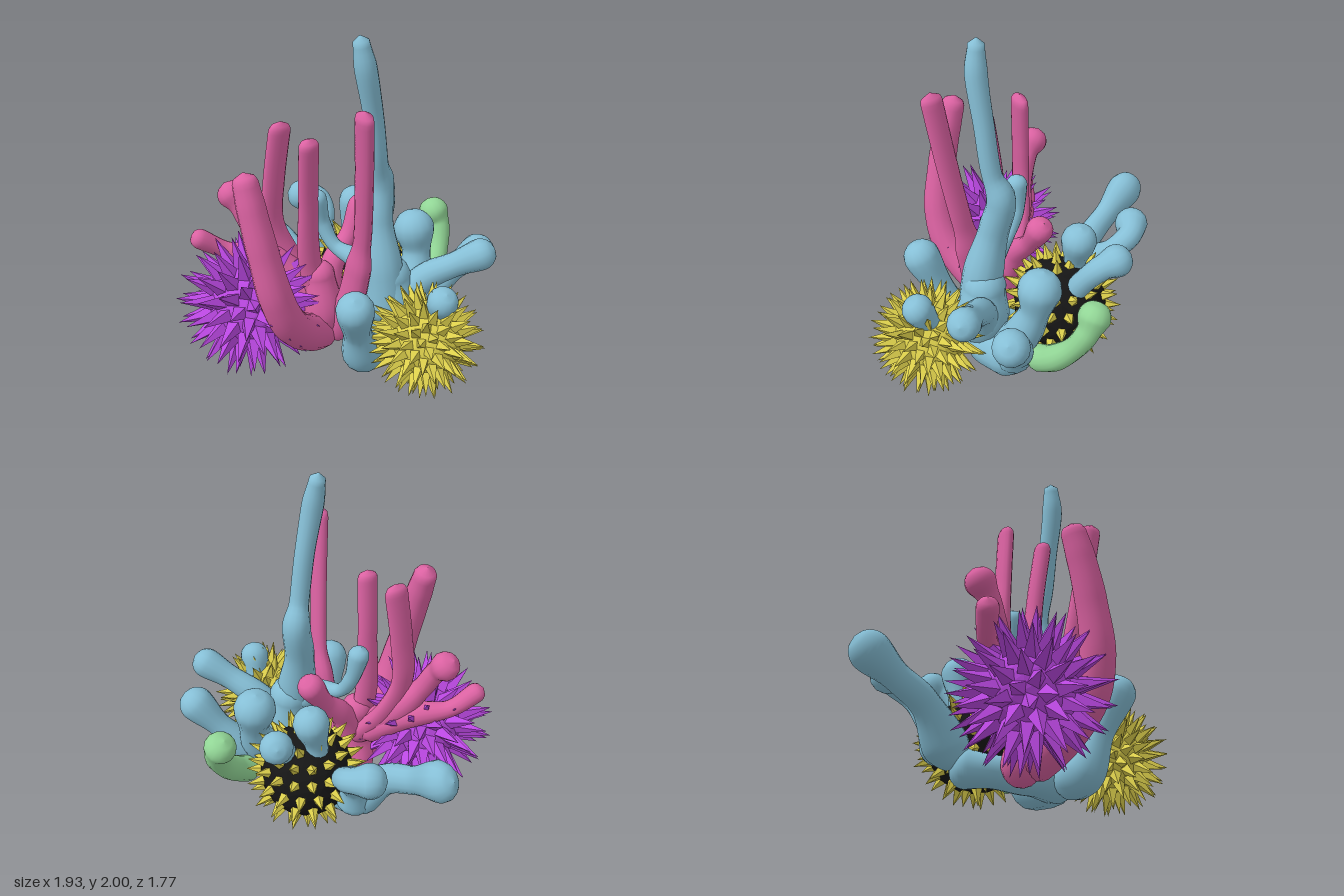
import * as THREE from 'three';
import { mergeVertices, mergeGeometries } from 'three/addons/utils/BufferGeometryUtils.js';

const BLUE = 0x86bfd6, PINK = 0xdb62a2, GREEN = 0x92d696, PURPLE = 0xbb48e2, YELLOW = 0xdccf4c, BLACK = 0x161616;

// Rounded coral branch through nodes [x, y, z, radius]; squash = [x, z] widths of the cross-section
function branchGeometry(nodes, squash = [1, 1]) {
  const pts = nodes.map(n => new THREE.Vector3(n[0], n[1], n[2]));
  const radii = nodes.map(n => n[3]);
  const last = pts.length - 1;
  // extend the tip by its own radius so that the last node is the centre of the bulb
  pts.push(pts[last].clone().addScaledVector(pts[last].clone().sub(pts[last - 1]).normalize(), radii[last]));
  radii.push(radii[last]);
  const curve = new THREE.CatmullRomCurve3(pts);
  const segs = 56, sides = 14, length = curve.getLength();
  const tube = new THREE.TubeGeometry(curve, segs, 1, sides);
  const pos = tube.attributes.position, v = new THREE.Vector3();
  for (let i = 0; i <= segs; i++) {
    const u = i / segs, c = curve.getPointAt(u);
    const f = curve.getUtoTmapping(u) * (pts.length - 1);
    const k = Math.min(Math.floor(f), pts.length - 2);
    let r = THREE.MathUtils.lerp(radii[k], radii[k + 1], THREE.MathUtils.smoothstep(f - k, 0, 1));
    const d = Math.min(u, 1 - u) * length;
    if (d < r) r = Math.sqrt(Math.max(0, r * r - (r - d) ** 2)) + 0.0005;
    for (let j = 0; j <= sides; j++) {
      const n = i * (sides + 1) + j;
      v.fromBufferAttribute(pos, n).sub(c).multiplyScalar(r);
      pos.setXYZ(n, c.x + v.x * squash[0], c.y + v.y, c.z + v.z * squash[1]);
    }
  }
  tube.deleteAttribute('uv');
  tube.deleteAttribute('normal');
  const geo = mergeVertices(tube, 1e-5);
  geo.computeVertexNormals();
  return geo;
}

// Each branch is a list of nodes, or { nodes, squash }
function coral(name, color, branches) {
  const group = new THREE.Group();
  group.name = name;
  const material = new THREE.MeshStandardMaterial({ color });
  for (const [part, b] of Object.entries(branches)) {
    const mesh = new THREE.Mesh(branchGeometry(b.nodes || b, b.squash), material);
    mesh.name = part;
    group.add(mesh);
  }
  return group;
}

// Evenly spread directions
function spiralDirections(count) {
  return Array.from({ length: count }, (_, i) => {
    const y = 1 - 2 * (i + 0.5) / count, r = Math.sqrt(1 - y * y), a = i * Math.PI * (3 - Math.sqrt(5));
    return new THREE.Vector3(r * Math.cos(a), y, r * Math.sin(a));
  });
}

// Directions in neat rings
function ringDirections(rings, most) {
  const dirs = [];
  for (let i = 0; i < rings; i++) {
    const a = Math.PI * (i + 0.5) / rings, n = Math.max(3, Math.round(most * Math.sin(a)));
    for (let j = 0; j < n; j++) dirs.push(new THREE.Vector3().setFromSphericalCoords(1, a, 2 * Math.PI * j / n));
  }
  return dirs;
}

function urchin(name, center, o) {
  const group = new THREE.Group();
  group.name = name;
  group.position.set(...center);
  const body = new THREE.Mesh(new THREE.IcosahedronGeometry(o.body, 3),
    new THREE.MeshStandardMaterial({ color: o.bodyColor, flatShading: true }));
  body.name = 'urchinBody';
  const up = new THREE.Vector3(0, 1, 0), base = o.body * 0.93;
  const cones = o.dirs.map((d, i) => {
    const h = o.tip * (1 - 0.04 * ((i * 7) % 5) / 4) - base;
    return new THREE.ConeGeometry(o.width, h, o.sides, 1, true)
      .translate(0, base + h / 2, 0)
      .applyQuaternion(new THREE.Quaternion().setFromUnitVectors(up, d));
  });
  const spines = new THREE.Mesh(mergeGeometries(cones),
    new THREE.MeshStandardMaterial({ color: o.spineColor, flatShading: true }));
  spines.name = 'urchinSpines';
  group.add(body, spines);
  return group;
}

export function createModel() {
  const model = new THREE.Group();
  model.name = 'coralReef';

  model.add(coral('blueCoral', BLUE, {
    root: [[-0.33, 0.19, -0.16, 0.12], [-0.12, 0.17, -0.08, 0.09], [0.1, 0.17, -0.1, 0.1], [0.28, 0.2, -0.15, 0.14]],
    backRoot: [[0.28, 0.18, -0.1, 0.12], [0.29, 0.2, -0.25, 0.14], [0.26, 0.21, -0.36, 0.14]],
    trunk: [[0.28, 0.18, -0.15, 0.12], [0.32, 0.4, -0.2, 0.15], [0.3, 0.58, -0.19, 0.12]],
    tallBranch: [[0.32, 0.3, -0.16, 0.14], [0.29, 0.62, -0.15, 0.115], [0.22, 0.92, -0.16, 0.085], [0.19, 1.13, -0.19, 0.08],
      [0.22, 1.27, -0.15, 0.055], [0.235, 1.55, -0.1, 0.055], [0.24, 1.82, -0.04, 0.06], [0.225, 1.955, -0.02, 0.045]],
    curlBranch: [[0.28, 0.55, -0.15, 0.09], [0.16, 0.66, -0.07, 0.06], [0.03, 0.72, 0, 0.04], [-0.04, 0.84, 0.03, 0.045], [-0.06, 0.99, 0.06, 0.06]],
    backBranch: [[0.24, 0.2, -0.34, 0.14], [0.21, 0.4, -0.45, 0.105], [0.17, 0.57, -0.5, 0.085], [0.14, 0.71, -0.5, 0.12]],
    backLeftBranch: [[0.24, 0.18, -0.38, 0.12], [0.29, 0.35, -0.52, 0.09], [0.36, 0.5, -0.63, 0.07], [0.45, 0.63, -0.72, 0.1]],
    highLeftBranch: [[0.34, 0.35, -0.2, 0.12], [0.41, 0.56, -0.34, 0.08], [0.53, 0.67, -0.46, 0.07], [0.63, 0.75, -0.56, 0.088]],
    sideBranch: [[0.34, 0.35, -0.2, 0.12], [0.5, 0.42, -0.22, 0.07], [0.65, 0.5, -0.23, 0.06], [0.72, 0.62, -0.21, 0.085]],
    frontLeftBranch: [[0.26, 0.17, -0.1, 0.11], [0.35, 0.18, 0.03, 0.12], [0.42, 0.4, 0.13, 0.08], [0.49, 0.6, 0.2, 0.105]],
    rightLongBranch: { nodes: [[-0.3, 0.17, -0.12, 0.1], [-0.37, 0.3, -0.11, 0.13], [-0.52, 0.48, -0.03, 0.085], [-0.68, 0.57, 0.02, 0.08],
      [-0.84, 0.67, 0.06, 0.115]], squash: [1, 0.8] },
    rightCurlBranch: [[-0.35, 0.2, -0.15, 0.12], [-0.43, 0.45, -0.19, 0.085], [-0.5, 0.6, -0.31, 0.065], [-0.6, 0.67, -0.32, 0.07], [-0.66, 0.68, -0.25, 0.095]],
    rearRightBranch: [[-0.12, 0.45, -0.4, 0.07], [-0.16, 0.65, -0.5, 0.065], [-0.22, 0.75, -0.56, 0.07], [-0.29, 0.79, -0.59, 0.09]],
    topBranch: [[-0.2, 0.35, -0.3, 0.07], [-0.22, 0.62, -0.31, 0.065], [-0.22, 0.79, -0.34, 0.1]],
  }));

  model.add(coral('pinkCoral', PINK, {
    root: [[0.05, 0.15, 0, 0.1], [0, 0.17, 0.06, 0.125], [0.05, 0.32, 0.09, 0.12], [0.02, 0.55, 0.1, 0.09]],
    frontBranch: [[0, 0.16, 0.04, 0.12], [0.1, 0.25, 0.22, 0.11], [0.2, 0.44, 0.42, 0.1], [0.21, 0.64, 0.51, 0.095],
      [0.16, 0.92, 0.555, 0.085], [0.1, 1.15, 0.575, 0.078], [0.06, 1.28, 0.58, 0.07]],
    tallLeftBranch: { nodes: [[0.04, 0.15, 0.05, 0.1], [0.2, 0.4, 0.03, 0.085], [0.27, 0.68, 0.015, 0.08], [0.31, 0.87, 0.02, 0.055],
      [0.37, 1.25, 0.06, 0.055], [0.42, 1.64, 0.105, 0.055]], squash: [1.1, 0.75] },
    middleBranch: { nodes: [[0.03, 0.35, 0.08, 0.08], [0, 0.65, 0.15, 0.065], [0.02, 1.05, 0.17, 0.055], [0.06, 1.385, 0.19, 0.055]], squash: [0.8, 1.1] },
    tallRightBranch: { nodes: [[0, 0.35, 0.08, 0.08], [-0.16, 0.62, 0.2, 0.075], [-0.21, 0.85, 0.26, 0.062], [-0.2, 1.1, 0.25, 0.06],
      [-0.175, 1.405, 0.22, 0.06]], squash: [0.66, 1.15] },
    bulbBranch: [[0, 0.38, 0.1, 0.09], [-0.18, 0.62, 0.25, 0.085], [-0.28, 0.8, 0.35, 0.06], [-0.34, 0.93, 0.39, 0.06], [-0.39, 0.99, 0.41, 0.083]],
    lowRightBranch: [[-0.03, 0.4, 0.1, 0.08], [-0.25, 0.6, 0.3, 0.075], [-0.38, 0.66, 0.48, 0.05], [-0.43, 0.75, 0.61, 0.058]],
    backBranch: [[0.02, 0.38, 0.06, 0.09], [-0.01, 0.58, -0.02, 0.07], [-0.02, 0.72, -0.14, 0.055], [-0.03, 0.87, -0.23, 0.075]],
  }));

  model.add(coral('greenCoral', GREEN, {
    greenBranch: [[0.18, 0.24, -0.5, 0.08], [0.14, 0.34, -0.65, 0.075], [0.08, 0.48, -0.76, 0.062], [0.03, 0.6, -0.8, 0.065], [-0.01, 0.67, -0.79, 0.09]],
  }));

  model.add(urchin('purpleUrchin', [-0.14, 0.42, 0.46],
    { body: 0.245, tip: 0.435, width: 0.048, sides: 4, dirs: spiralDirections(110), bodyColor: PURPLE, spineColor: PURPLE }));
  model.add(urchin('yellowUrchin', [0.645, 0.36, -0.165],
    { body: 0.21, tip: 0.335, width: 0.036, sides: 4, dirs: spiralDirections(140), bodyColor: YELLOW, spineColor: YELLOW }));
  model.add(urchin('blackUrchin', [-0.12, 0.38, -0.32],
    { body: 0.265, tip: 0.36, width: 0.036, sides: 5, dirs: ringDirections(9, 17), bodyColor: BLACK, spineColor: YELLOW }));

  return model;
}
